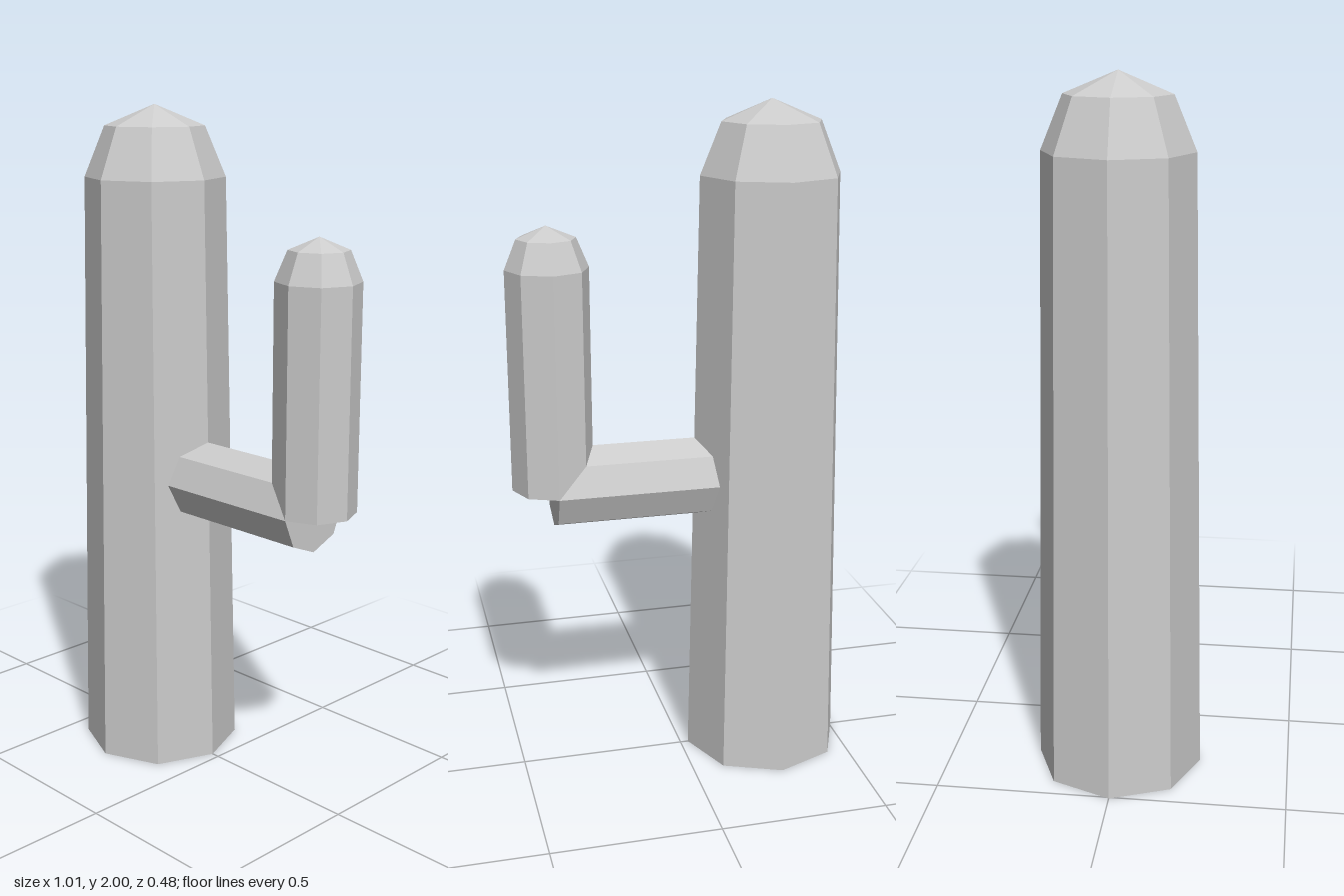
import * as THREE from 'three';

const SIDES = 8;
const material = new THREE.MeshStandardMaterial({ color: 0xcccccc, flatShading: true });

// Upright octagonal column with a closed base and a faceted hemisphere on top
function domedColumn(name, x, y, bottomRadius, topRadius, height) {
  const profile = [new THREE.Vector2(0, 0), new THREE.Vector2(bottomRadius, 0)];
  for (let i = 0; i <= 2; i++) {
    const a = (i * Math.PI) / 4;
    profile.push(new THREE.Vector2(
      i === 2 ? 0 : topRadius * Math.cos(a),
      height + topRadius * Math.sin(a),
    ));
  }
  const mesh = new THREE.Mesh(new THREE.LatheGeometry(profile, SIDES), material);
  mesh.name = name;
  mesh.position.set(x, y, 0);
  return mesh;
}

export function createModel() {
  const group = new THREE.Group();
  group.name = 'cactus';

  const trunkX = -0.265, armX = 0.385, armY = 0.9, armRadius = 0.12;

  // Tapered trunk
  group.add(domedColumn('trunk', trunkX, 0, 0.241, 0.209, 1.791));

  // Horizontal branch from the trunk's axis to the arm's axis
  const length = armX - trunkX;
  const branch = new THREE.Mesh(
    new THREE.CylinderGeometry(armRadius, armRadius, length, SIDES), material);
  branch.name = 'branch';
  branch.rotation.z = -Math.PI / 2;
  branch.position.set(trunkX + length / 2, armY, 0);
  group.add(branch);

  // Upright arm
  group.add(domedColumn('arm', armX, armY, armRadius, armRadius, 0.648));

  return group;
}
